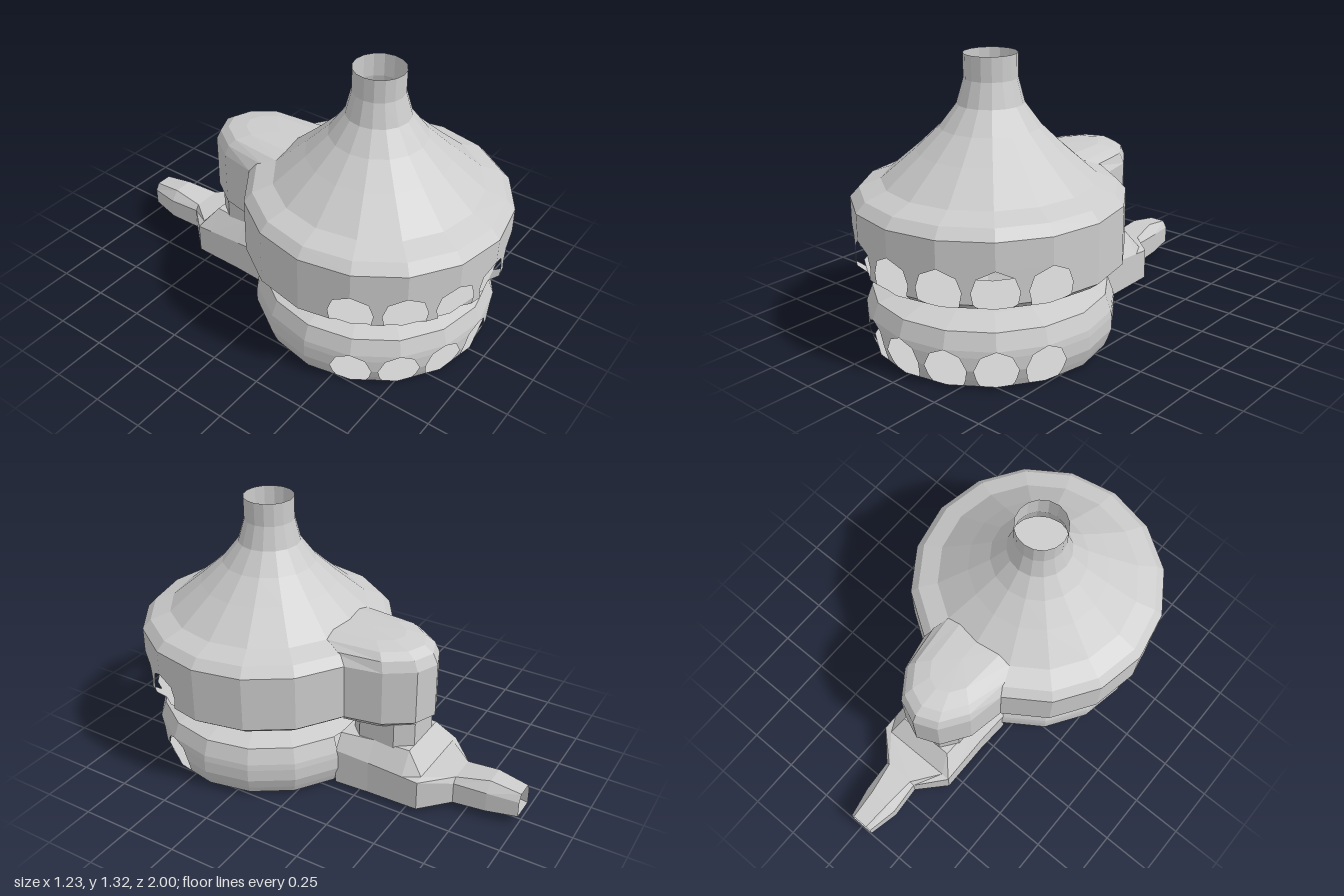
import * as THREE from 'three';

const SIDES = 16;
const DRUM_Z = 0.385;

const material = new THREE.MeshStandardMaterial({
  color: 0xcccccc, flatShading: true, side: THREE.DoubleSide,
});

function addPart(group, name, geometry) {
  const mesh = new THREE.Mesh(geometry, material);
  mesh.name = name;
  group.add(mesh);
  return mesh;
}

// Surface of revolution around the drum axis, given as [radius, y] pairs
function revolve(points) {
  const geometry = new THREE.LatheGeometry(points.map(([r, y]) => new THREE.Vector2(r, y)), SIDES);
  return geometry.translate(0, 0, DRUM_Z);
}

// Skin over a list of equal-length rings of [x, y, z] points
function loft(rings, closed) {
  const n = rings[0].length;
  const index = [];
  for (let i = 0; i < rings.length - 1; i++) {
    for (let j = 0; j < (closed ? n : n - 1); j++) {
      const a = i * n + j, b = i * n + (j + 1) % n;
      index.push(a, b, a + n, b, b + n, a + n);
    }
  }
  const geometry = new THREE.BufferGeometry();
  geometry.setAttribute('position', new THREE.Float32BufferAttribute(rings.flat(2), 3));
  geometry.setIndex(index);
  geometry.computeVertexNormals();
  return geometry;
}

// Drum wall: rows are [y, radius, half width of the opening (0..1 of half a facet)].
// Seven corners at the front are opened; two facets at the back open into the rear housing.
function drumWall(rows) {
  const position = [];
  const corner = (k, r) => new THREE.Vector2(r, 0).rotateAround(new THREE.Vector2(), k * 2 * Math.PI / SIDES);
  const point = (k, side, t, [y, r]) => {
    const p = corner(k, r).lerp(corner(k + side, r), t / 2);
    return [p.y, y, DRUM_Z + p.x];
  };
  for (let k = -7; k <= 8; k++) {
    for (const side of [-1, 1]) {
      if (k === 8 || (k === 7 && side > 0) || (k === -7 && side < 0)) continue;
      const open = Math.abs(k) <= 3 ? 1 : 0;
      for (let i = 0; i < rows.length - 1; i++) {
        const top = rows[i], low = rows[i + 1];
        const a = point(k, side, top[2] * open, top), b = point(k, side, 1, top);
        const c = point(k, side, low[2] * open, low), d = point(k, side, 1, low);
        const tris = side > 0 ? [a, c, b, b, c, d] : [a, b, c, b, d, c];
        position.push(...tris.flat());
      }
    }
  }
  const geometry = new THREE.BufferGeometry();
  geometry.setAttribute('position', new THREE.Float32BufferAttribute(position, 3));
  geometry.computeVertexNormals();
  return geometry;
}

// Mirrors half an outline of [x, z] points across x = 0
function mirrored(half) {
  return [...half, ...half.filter(([x]) => x > 0).reverse().map(([x, z]) => [-x, z])];
}

export function createModel() {
  const group = new THREE.Group();

  // Funnel-shaped cover with an open neck, leaning very slightly to the rear
  const cover = revolve([
    [0.615, 0.69], [0.575, 0.735], [0.48, 0.77], [0.33, 0.9], [0.225, 1.0],
    [0.15, 1.1], [0.12, 1.21], [0.12, 1.32],
  ]);
  const p = cover.attributes.position;
  for (let i = 0; i < p.count; i++) {
    p.setZ(i, p.getZ(i) - 0.022 * Math.min(1, (p.getY(i) - 0.69) / 0.5));
  }
  addPart(group, 'funnelCover', cover);

  // Upper and lower drum walls with scalloped openings
  addPart(group, 'upperDrumWall', drumWall([
    [0.69, 0.615, 0], [0.568, 0.615, 0], [0.53, 0.615, 0.66], [0.47, 0.615, 0.84],
    [0.42, 0.615, 0.76], [0.385, 0.57, 0.64],
  ]));
  addPart(group, 'lowerDrumWall', drumWall([
    [0.265, 0.54, 0], [0.19, 0.568, 0], [0.16, 0.572, 0.6], [0.1, 0.572, 0.86],
    [0.05, 0.555, 0.78], [0.015, 0.54, 0.66],
  ]));

  // Narrow waist joining the drums, and the base plate with its centre hole
  addPart(group, 'waist', revolve([
    [0.54, 0.265], [0.42, 0.3], [0.28, 0.315], [0.26, 0.33], [0.26, 0.37],
    [0.28, 0.383], [0.57, 0.385],
  ]));
  addPart(group, 'basePlate', revolve([[0.1, 0.015], [0.54, 0.015]]));

  // Rounded housing behind the upper drum: [y, scale, z where it meets the drum]
  const housingRings = [
    [0.385, 0, -0.16], [0.385, 0.86, -0.16], [0.42, 1, -0.183], [0.69, 1, -0.183],
    [0.74, 0.93, -0.1], [0.77, 0.8, -0.03], [0.788, 0.52, 0], [0.792, 0, 0],
  ].map(([y, s, z0]) => mirrored([
    [0.235, null], [0.2, -0.36], [0.11, -0.49], [0, -0.535],
  ]).map(([x, z]) => [x * s, y, z === null ? z0 : -0.18 + (z + 0.18) * s]).map(
    // the mirrored end point shares the drum seam
    ([x, y2, z]) => [x, y2, z]));
  addPart(group, 'rearHousing', loft(housingRings, false));

  // Column between the rear housing and the outlet
  const columnOutline = mirrored([[0.09, -0.16], [0.15, -0.22], [0.15, -0.4], [0.09, -0.48]]);
  addPart(group, 'rearColumn', loft(
    [0.27, 0.4].map((y) => columnOutline.map(([x, z]) => [x, y, z])), true));

  // Hollow outlet: [z, centre x, half width, bottom y, shoulder y, top half width, top y]
  const outletSections = [
    [-0.13, 0, 0.22, 0.015, 0.2, 0.17, 0.275],
    [-0.3, 0, 0.21, 0.015, 0.185, 0.15, 0.28],
    [-0.48, 0, 0.21, 0.018, 0.175, 0.14, 0.28],
    [-0.56, 0, 0.21, 0.02, 0.17, 0.17, 0.18],
    [-0.69, 0, 0.09, 0.032, 0.14, 0.07, 0.167],
    [-0.85, -0.012, 0.09, 0.04, 0.14, 0.05, 0.187],
    [-1, -0.01, 0.06, 0.05, 0.13, 0.04, 0.165],
  ].map(([z, cx, w, y0, y1, wt, yt]) => [
    [cx - w, y0, z], [cx - w, y1, z], [cx - wt, yt, z],
    [cx + wt, yt, z], [cx + w, y1, z], [cx + w, y0, z],
  ]);
  addPart(group, 'outletSpout', loft(outletSections, true));

  // Shallow foot under the outlet
  const foot = new THREE.CylinderGeometry(0.145, 0.11, 0.02, 8);
  foot.translate(0, 0.01, -0.33);
  addPart(group, 'outletFoot', foot);

  return group;
}
